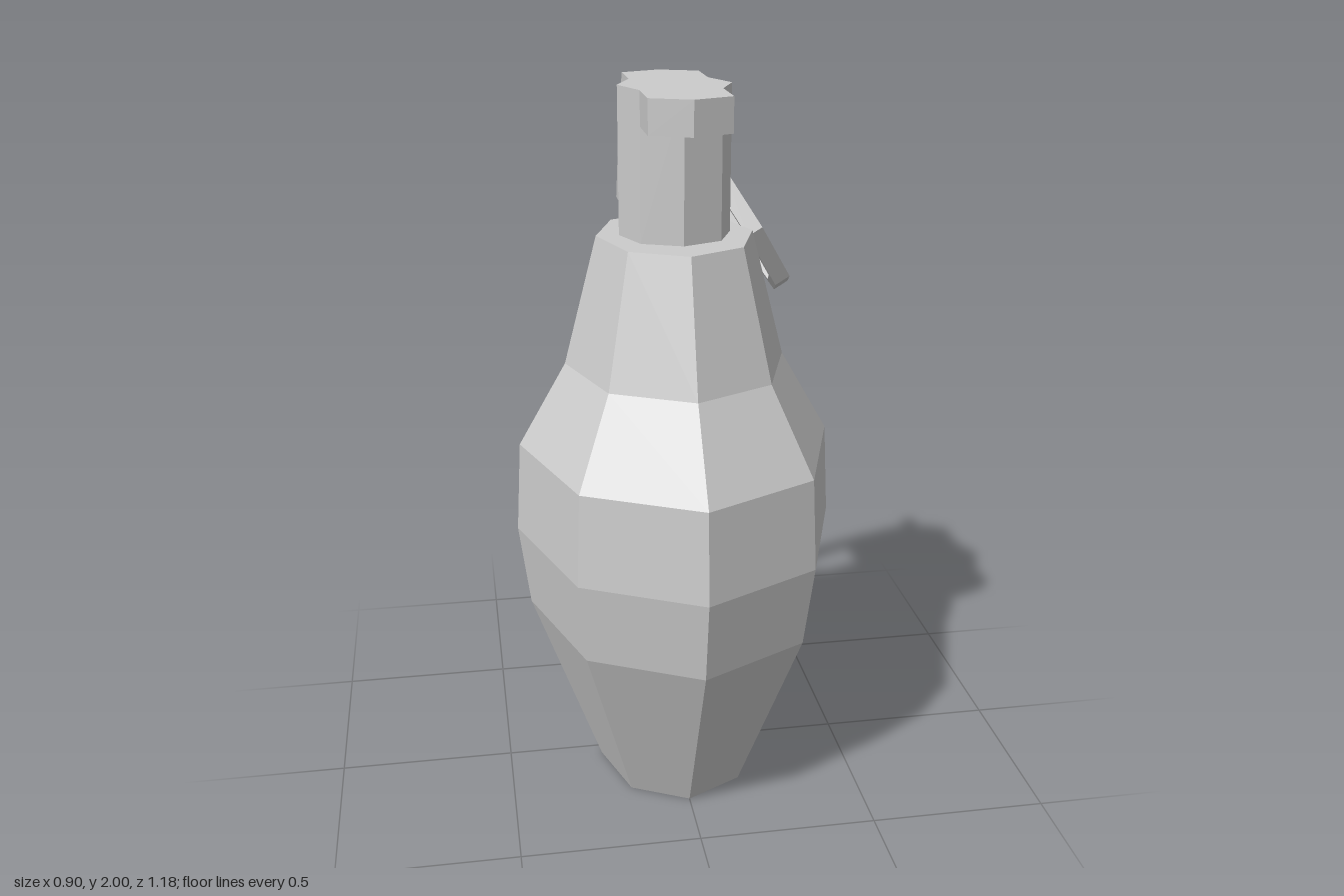
import * as THREE from 'three';

const material = new THREE.MeshStandardMaterial({ color: 0xcccccc, flatShading: true });

function addPart(group, name, geometry) {
  const mesh = new THREE.Mesh(geometry, material);
  mesh.name = name;
  group.add(mesh);
  return mesh;
}

// Closed solid through horizontal rings, bottom to top; each ring is [y, [[x, z], ...]],
// counter-clockwise from above. The caps fan out from the first point.
function loft(rings) {
  const n = rings[0][1].length;
  const positions = rings.flatMap(([y, pts]) => pts.flatMap(([x, z]) => [x, y, z]));
  const index = [];
  for (let r = 0; r < rings.length - 1; r++) {
    for (let i = 0; i < n; i++) {
      const a = r * n + i, b = r * n + (i + 1) % n;
      index.push(a, b, b + n, a, b + n, a + n);
    }
  }
  const top = (rings.length - 1) * n;
  for (let i = 1; i < n - 1; i++) {
    index.push(0, i + 1, i);
    index.push(top, top + i, top + i + 1);
  }
  const geometry = new THREE.BufferGeometry();
  geometry.setAttribute('position', new THREE.Float32BufferAttribute(positions, 3));
  geometry.setIndex(index);
  geometry.computeVertexNormals();
  return geometry;
}

function octagon(radius) {
  return Array.from({ length: 8 }, (_, i) =>
    new THREE.Vector2(Math.cos(i * Math.PI / 4) * radius, Math.sin(i * Math.PI / 4) * radius));
}

export function createModel() {
  const group = new THREE.Group();
  group.name = 'grenade';
  const axisZ = 0.04;

  // Eight-sided body, deeper than it is wide
  const profile = [[0, 0], [0.225, 0], [0.42, 0.54], [0.45, 0.775], [0.435, 1.03],
    [0.303, 1.26], [0.212, 1.61], [0, 1.61]].map(([r, y]) => new THREE.Vector2(r, y));
  const body = new THREE.LatheGeometry(profile, 8);
  body.scale(1, 1, 1.22);
  body.translate(0, 0, axisZ);
  addPart(group, 'body', body);

  // Neck
  const neck = new THREE.CylinderGeometry(0.15, 0.15, 0.39, 8);
  neck.translate(0, 1.805, axisZ);
  addPart(group, 'neck', neck);

  // Overhanging lip at the front of the neck
  const lip = [[0, 0.19], [-0.106, 0.146], [-0.106, 0.285], [0, 0.328], [0.106, 0.285], [0.106, 0.146]];
  addPart(group, 'frontLip', loft([[1.91, lip], [2, lip]]));

  // Sloping hood behind the neck
  const hoodRing = (z) => [[0, -0.11], [0.106, -0.066], [0.106, z + 0.042], [0, z],
    [-0.106, z + 0.042], [-0.106, -0.066]];
  addPart(group, 'hood', loft([[1.625, hoodRing(-0.412)], [1.9, hoodRing(-0.312)], [2, hoodRing(-0.246)]]));

  // Safety lever: side outline as (z, y), extruded across x
  const outline = [[-0.345, 1.63], [-0.463, 1.28], [-0.545, 0.79], [-0.495, 0.22],
    [-0.54, 0.215], [-0.592, 0.79], [-0.51, 1.29], [-0.405, 1.63]];
  const leverShape = new THREE.Shape(outline.map(([z, y]) => new THREE.Vector2(-z, y)));
  const lever = new THREE.ExtrudeGeometry(leverShape, { depth: 0.046, bevelEnabled: false });
  lever.translate(0, 0, -0.023);
  lever.rotateY(Math.PI / 2);
  addPart(group, 'lever', lever);

  // Octagonal pull ring, leaning out on the left
  const ringShape = new THREE.Shape(octagon(0.268));
  ringShape.holes.push(new THREE.Path(octagon(0.23)));
  const ring = new THREE.ExtrudeGeometry(ringShape, { depth: 0.047, bevelEnabled: false });
  ring.translate(0, 0, -0.0235);
  ring.rotateY(Math.PI / 2);
  ring.rotateZ(0.553);
  addPart(group, 'pullRing', ring).position.set(0.226, 1.597, -0.258);

  return group;
}
